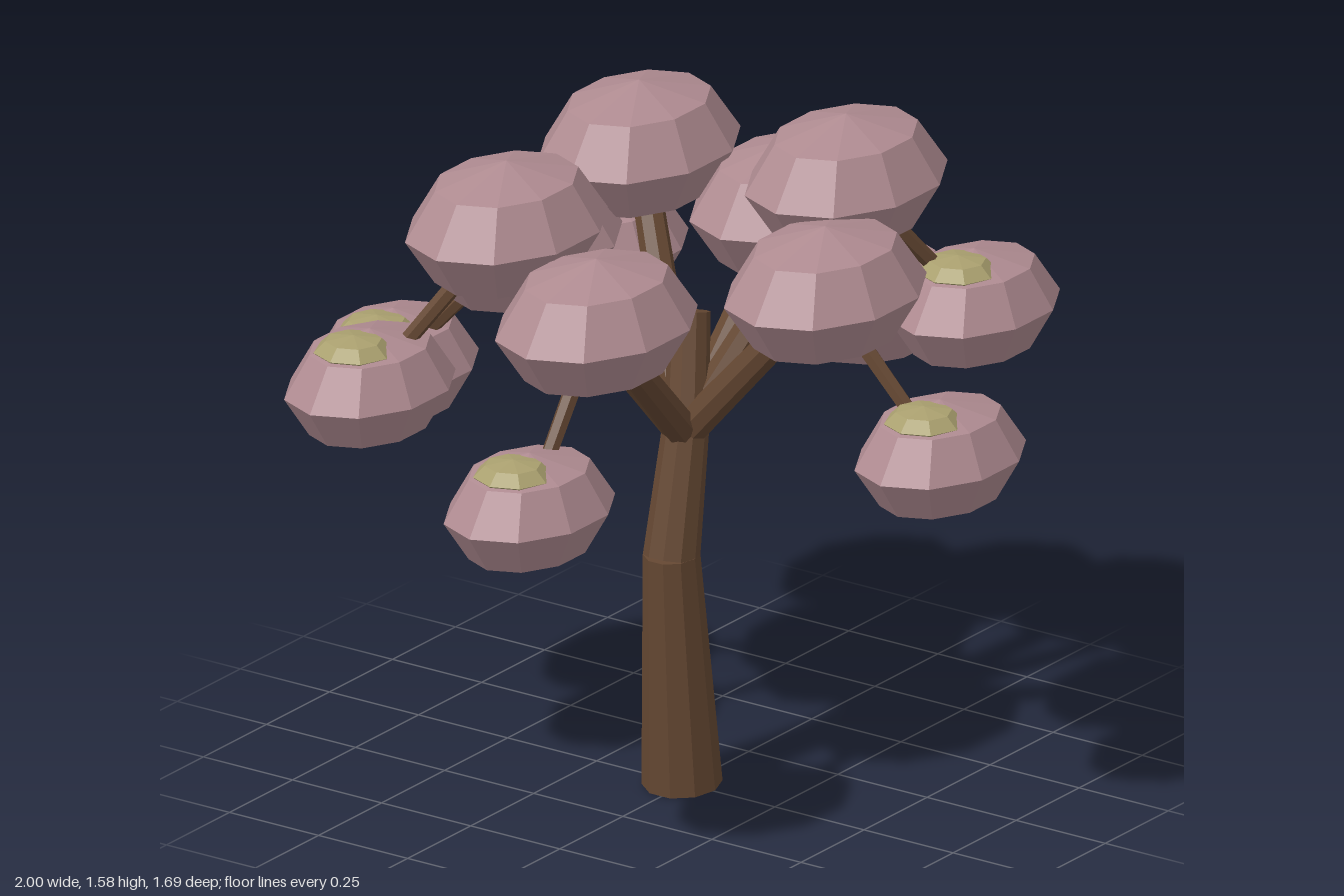
import * as THREE from 'three';

const blossom = new THREE.MeshStandardMaterial({ color: 0xaf8b91, flatShading: true });
blossom.name = 'dusty pink';
const bark = new THREE.MeshStandardMaterial({ color: 0x644732, flatShading: true });
bark.name = 'brown bark';
const moss = new THREE.MeshStandardMaterial({ color: 0xaaa06f, flatShading: true });
moss.name = 'olive';

const UP = new THREE.Vector3(0, 1, 0);

// Tapered round limb running from point a to point b
function limb(name, a, b, ra, rb, sides) {
  const from = new THREE.Vector3(...a);
  const dir = new THREE.Vector3(...b).sub(from);
  const length = dir.length();
  const geo = new THREE.CylinderGeometry(rb, ra, length, sides);
  geo.translate(0, length / 2, 0);
  const mesh = new THREE.Mesh(geo, bark);
  mesh.name = name;
  mesh.position.copy(from);
  mesh.quaternion.setFromUnitVectors(UP, dir.normalize());
  return mesh;
}

// Faceted ellipsoid
function puff(name, center, radii, sides, material) {
  const geo = new THREE.SphereGeometry(1, sides, 4);
  geo.scale(...radii);
  const mesh = new THREE.Mesh(geo, material);
  mesh.name = name;
  mesh.position.set(...center);
  return mesh;
}

// Each bough: centre of its large crown puff, then of the small puff hanging from it
const boughs = [
  { crown: [-0.33, 1.422, -0.27], hanging: [-0.575, 1.06, -0.48] },
  { crown: [0.26, 1.422, -0.315], hanging: [0.455, 1.06, -0.555] },
  { crown: [0.36, 1.422, 0.195], hanging: [0.635, 1.06, 0.36] },
  { crown: [-0.11, 1.29, -0.385], hanging: [-0.2, 0.945, -0.68] },
  { crown: [-0.44, 1.29, 0.06], hanging: [-0.762, 0.945, 0.1] },
  { crown: [0.03, 1.29, 0.37], hanging: [0.055, 0.945, 0.675] },
  { crown: [0.43, 1.29, -0.01], hanging: [0.762, 0.945, -0.01] },
];

export function createModel() {
  const tree = new THREE.Group();
  tree.name = 'tree';

  // Bent trunk in three stretches
  const trunk = new THREE.Group();
  trunk.name = 'trunk';
  trunk.add(
    limb('lowerTrunk', [-0.008, 0.008, -0.005], [-0.05, 0.585, -0.005], 0.093, 0.066, 10),
    limb('upperTrunk', [-0.05, 0.575, -0.005], [0.022, 0.9, -0.012], 0.066, 0.053, 10),
    limb('trunkTip', [0.02, 0.89, -0.012], [0.08, 1.13, -0.045], 0.053, 0.047, 10),
  );
  tree.add(trunk);

  for (const { crown, hanging } of boughs) {
    const bough = new THREE.Group();
    bough.name = 'bough';
    const [x, y, z] = hanging;
    bough.add(
      limb('branch', [0.01, 0.86, -0.01], crown, 0.042, 0.034, 8),
      limb('twig', crown, hanging, 0.022, 0.018, 6),
      puff('crownPuff', crown, [0.28, 0.158, 0.212], 10, blossom),
      puff('hangingPuff', hanging, [0.238, 0.138, 0.178], 10, blossom),
      // Moss patch half sunk in the top of the hanging puff
      puff('mossPatch', [x - 0.065, y + 0.104, z], [0.093, 0.038, 0.093], 8, moss),
    );
    tree.add(bough);
  }
  return tree;
}
